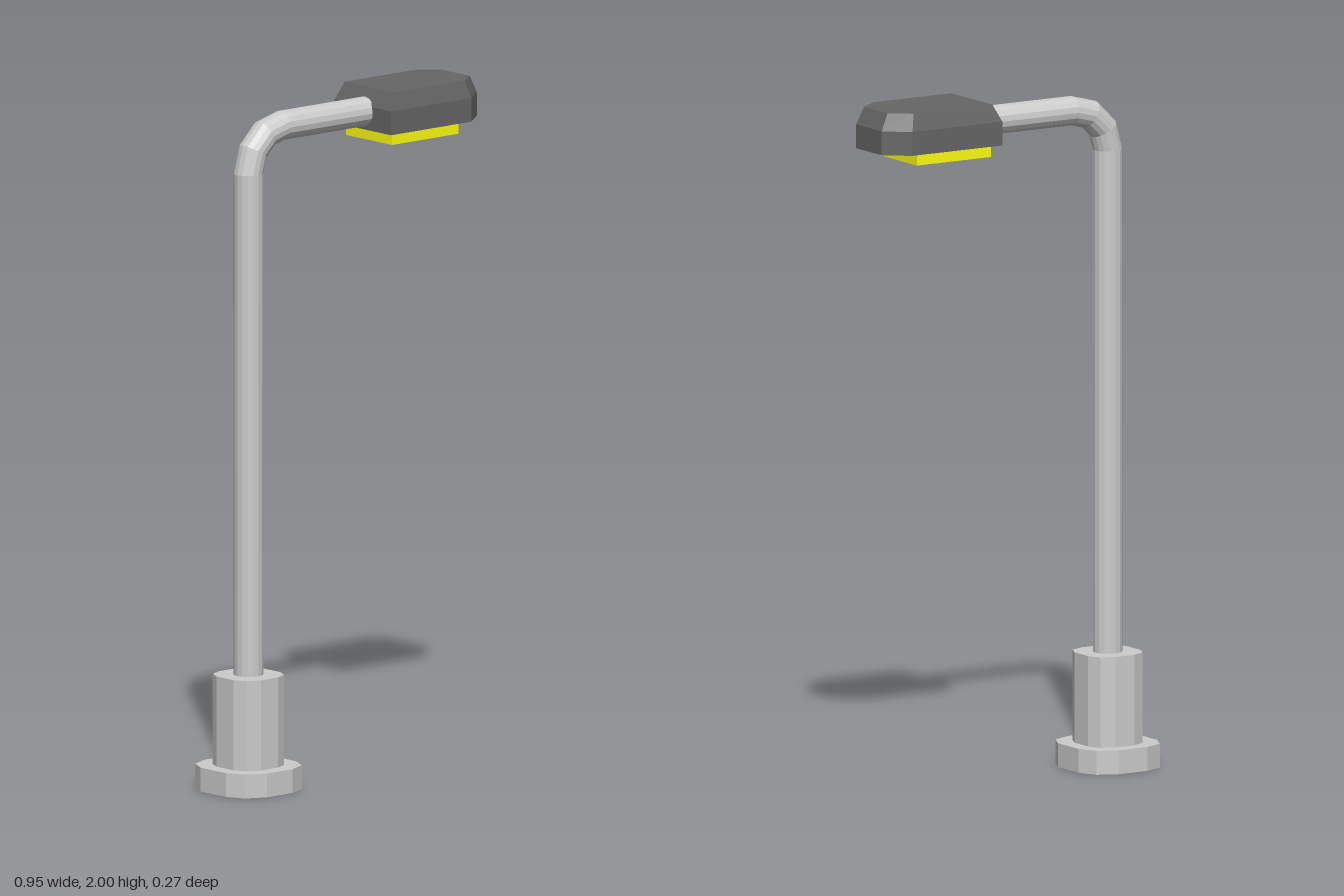
import * as THREE from 'three';

const grey = new THREE.MeshStandardMaterial({ color: 0xcccccc, flatShading: true });
const dark = new THREE.MeshStandardMaterial({ color: 0x666666, flatShading: true });
const yellow = new THREE.MeshStandardMaterial({ color: 0xffff10 });

const POLE_X = -0.343;

// Skins a list of equal-length convex rings of [x, y, z] points and caps both ends
function loft(rings) {
  const n = rings[0].length;
  const index = [];
  for (let i = 0; i < rings.length - 1; i++) {
    for (let j = 0; j < n; j++) {
      const k = (j + 1) % n;
      const a = i * n + j, b = i * n + k;
      index.push(a, b, b + n, a, b + n, a + n);
    }
  }
  const last = (rings.length - 1) * n;
  for (let j = 1; j < n - 1; j++) {
    index.push(0, j + 1, j, last, last + j, last + j + 1);
  }
  const geometry = new THREE.BufferGeometry();
  geometry.setAttribute('position', new THREE.Float32BufferAttribute(rings.flat(2), 3));
  geometry.setIndex(index);
  const flat = geometry.toNonIndexed();
  flat.computeVertexNormals();
  return flat;
}

// Twelve-sided footing outline, mirrored from one quadrant
function footingRing(scale, y) {
  const quadrant = [[0.135, 0.055], [0.108, 0.11], [0.049, 0.137]];
  const reversed = [...quadrant].reverse();
  const outline = [
    ...quadrant.map(([x, z]) => [x, -z]),
    ...reversed.map(([x, z]) => [-x, -z]),
    ...quadrant.map(([x, z]) => [-x, z]),
    ...reversed,
  ];
  return outline.map(([x, z]) => [POLE_X + x * scale, y, z * scale]);
}

// Upright, three-segment bend and horizontal arm as one tube
function poleGeometry() {
  const radius = 0.043, bend = 0.125, sides = 16, bendY = 1.807;
  const ring = (cx, cy, angle) => Array.from({ length: sides }, (_, j) => {
    const t = (j / sides) * Math.PI * 2;
    const out = radius * Math.cos(t);
    return [cx - out * Math.cos(angle), cy + out * Math.sin(angle), radius * Math.sin(t)];
  });
  const rings = [ring(POLE_X, 0.3, 0)];
  for (let i = 0; i <= 3; i++) {
    const a = (i / 3) * Math.PI / 2;
    rings.push(ring(POLE_X + bend * (1 - Math.cos(a)), bendY + bend * Math.sin(a), a));
  }
  rings.push(ring(0.105, bendY + bend, Math.PI / 2));
  return loft(rings);
}

// Lamp head outline with a tapered nose
function headRing(back, shoulder, nose, halfWidth, noseHalf, y) {
  return [
    [back, y, halfWidth], [shoulder, y, halfWidth], [nose, y, noseHalf],
    [nose, y, -noseHalf], [shoulder, y, -halfWidth], [back, y, -halfWidth],
  ];
}

export function createModel() {
  const group = new THREE.Group();
  group.name = 'streetLamp';
  const add = (name, geometry, material) => {
    const mesh = new THREE.Mesh(geometry, material);
    mesh.name = name;
    group.add(mesh);
    return mesh;
  };

  // Footing
  add('basePlate', loft([footingRing(1, 0), footingRing(1, 0.07)]), grey);
  add('baseCollar', loft([footingRing(0.67, 0.07), footingRing(0.67, 0.335)]), grey);

  // Pole and arm
  add('pole', poleGeometry(), grey);

  // Lamp head with bevelled top
  add('lampHead', loft([
    headRing(0.097, 0.405, 0.475, 0.123, 0.068, 1.88),
    headRing(0.097, 0.405, 0.475, 0.123, 0.068, 1.95),
    headRing(0.122, 0.392, 0.452, 0.109, 0.063, 2),
  ]), dark);

  // Light panel below the head
  add('lightPanel', new THREE.BoxGeometry(0.255, 0.045, 0.2), yellow)
    .position.set(0.248, 1.8675, 0);

  return group;
}
